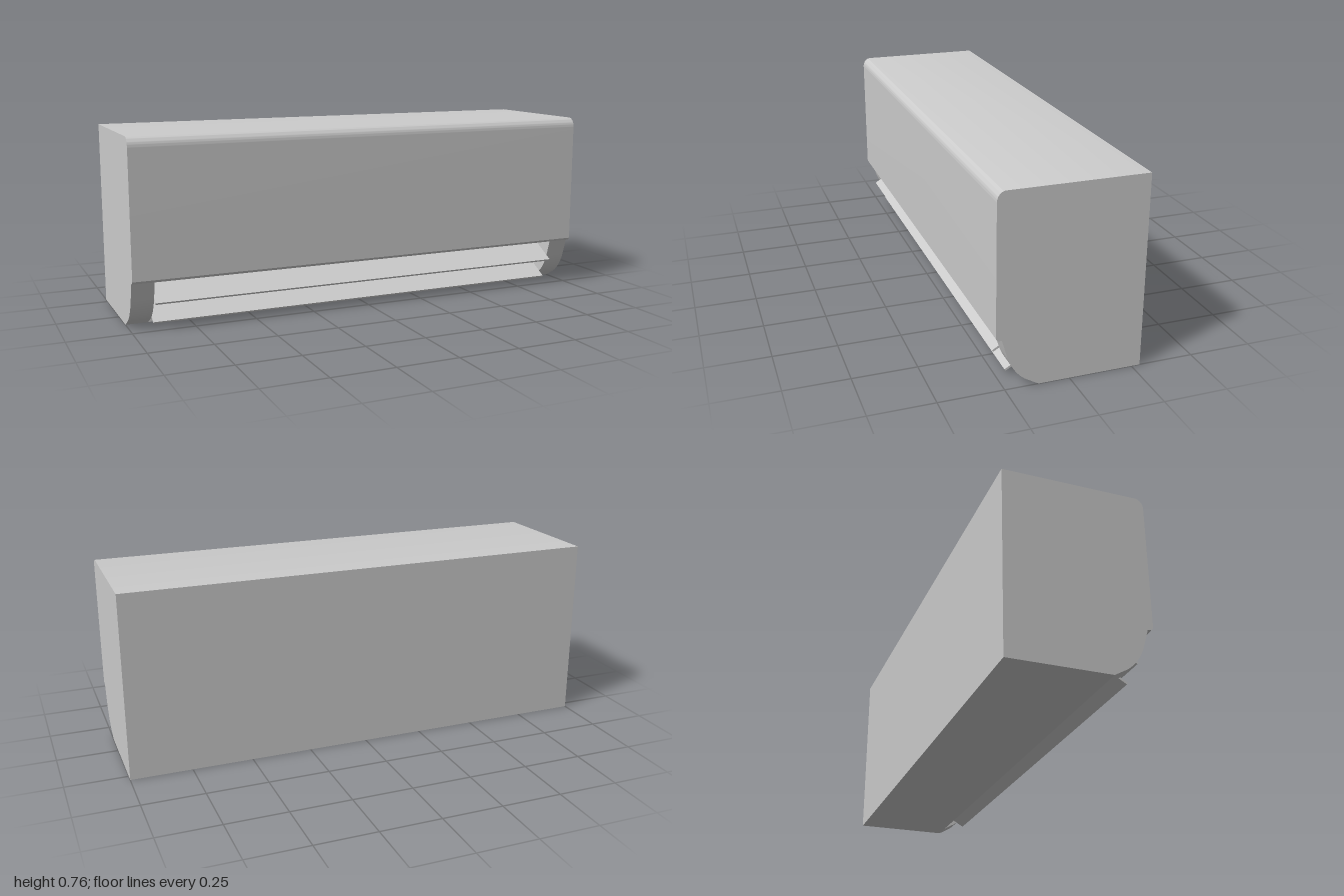
import * as THREE from 'three';
import { toCreasedNormals } from 'three/addons/utils/BufferGeometryUtils.js';

const material = new THREE.MeshStandardMaterial({ color: 0xcccccc });

// Extrudes a side profile drawn in (z, y) along x, centred on x = 0.
function extrudeAlongX(shape, length) {
  const geometry = new THREE.ExtrudeGeometry(shape, { depth: length, bevelEnabled: false, curveSegments: 12 });
  geometry.translate(0, 0, -length / 2);
  geometry.rotateY(-Math.PI / 2);
  return toCreasedNormals(geometry, 0.5);
}

function addPart(group, name, geometry, x = 0) {
  const mesh = new THREE.Mesh(geometry, material);
  mesh.name = name;
  mesh.position.x = x;
  group.add(mesh);
  return mesh;
}

export function createModel() {
  const group = new THREE.Group();
  group.name = 'wallAirConditioner';

  const back = -0.284, front = 0.284, top = 0.758;
  const outletWall = 0.12, outletTop = 0.2, cheekWidth = 0.09;

  // Housing: rounded top front edge, chamfered panel lip, outlet cut away below
  const body = new THREE.Shape();
  body.moveTo(back, 0);
  body.lineTo(outletWall, 0);
  body.lineTo(outletWall, outletTop);
  body.lineTo(0.277, outletTop);
  body.lineTo(front, 0.21);
  body.lineTo(front, 0.718);
  body.absellipse(front - 0.034, 0.718, 0.034, top - 0.718, 0, Math.PI / 2, false);
  body.lineTo(back, top);
  body.closePath();
  addPart(group, 'housing', extrudeAlongX(body, 2));

  // Curved cheeks closing both ends of the outlet
  const cheek = new THREE.Shape();
  cheek.moveTo(outletWall, 0);
  cheek.lineTo(0.167, 0.027);
  cheek.bezierCurveTo(0.205, 0.05, 0.232, 0.095, 0.243, 0.135);
  cheek.lineTo(0.262, outletTop);
  cheek.lineTo(outletWall, outletTop);
  cheek.closePath();
  const cheekGeometry = extrudeAlongX(cheek, cheekWidth);
  for (const [name, side] of [['leftCheek', 1], ['rightCheek', -1]]) {
    addPart(group, name, cheekGeometry, side * (1 - cheekWidth / 2));
  }

  // Two louvres sloping down and forward from the outlet wall
  const slope = Math.PI / 6, thickness = 0.008;
  for (const [name, tipZ, tipY] of [['upperLouvre', 0.264, 0.1105], ['lowerLouvre', 0.216, 0.0225]]) {
    const depth = (tipZ - outletWall + 0.004) / Math.cos(slope);
    const geometry = new THREE.BoxGeometry(2 - 2 * cheekWidth, thickness, depth);
    geometry.translate(0, 0, -depth / 2);
    const louvre = addPart(group, name, geometry);
    louvre.rotation.x = slope;
    louvre.position.set(0, tipY, tipZ);
  }

  return group;
}
